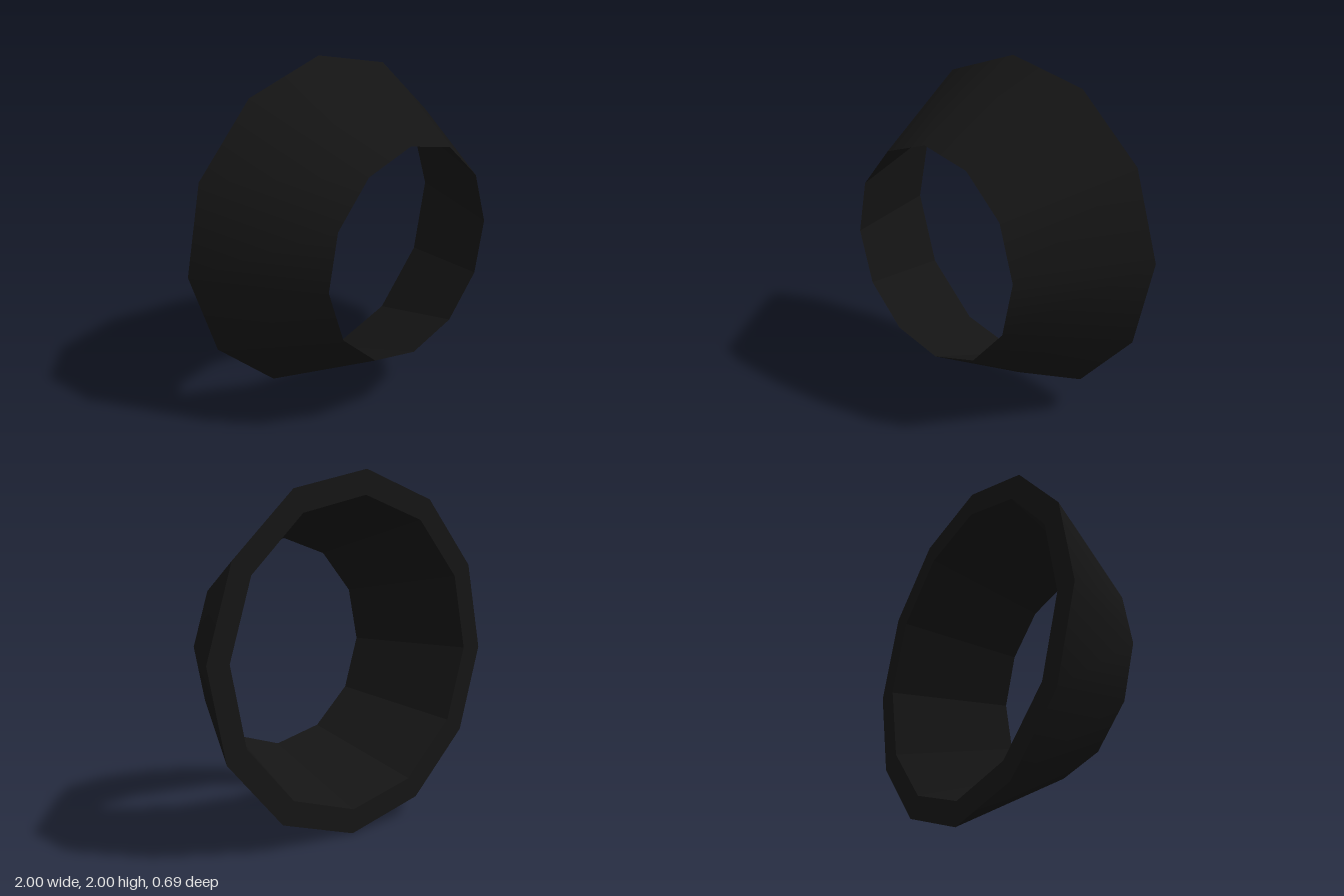
import * as THREE from 'three';

const SIDES = 12;
const TURN = THREE.MathUtils.degToRad(2.6); // slight roll of the polygon
const BACK = -0.345, FRONT = 0.345;

export function createModel() {
  const group = new THREE.Group();
  group.name = 'taperedRing';
  const smooth = new THREE.MeshStandardMaterial({ color: 0x141414 });
  const faceted = smooth.clone();
  faceted.flatShading = true;

  // One conical band between two [radius, z] rims
  function band(name, from, to, material) {
    const profile = [from, to].map(([r, z]) => new THREE.Vector2(r, z));
    const geometry = new THREE.LatheGeometry(profile, SIDES, TURN);
    geometry.rotateX(Math.PI / 2); // lathe axis becomes z
    const mesh = new THREE.Mesh(geometry, material);
    mesh.name = name;
    mesh.position.y = 1;
    group.add(mesh);
  }

  const outerBack = [1, BACK], innerBack = [0.863, BACK], frontEdge = [0.62, FRONT];
  band('outerWall', outerBack, frontEdge, smooth);
  band('innerWall', frontEdge, innerBack, faceted); // meets the outer wall in a sharp front edge
  band('backRim', innerBack, outerBack, faceted);
  return group;
}
